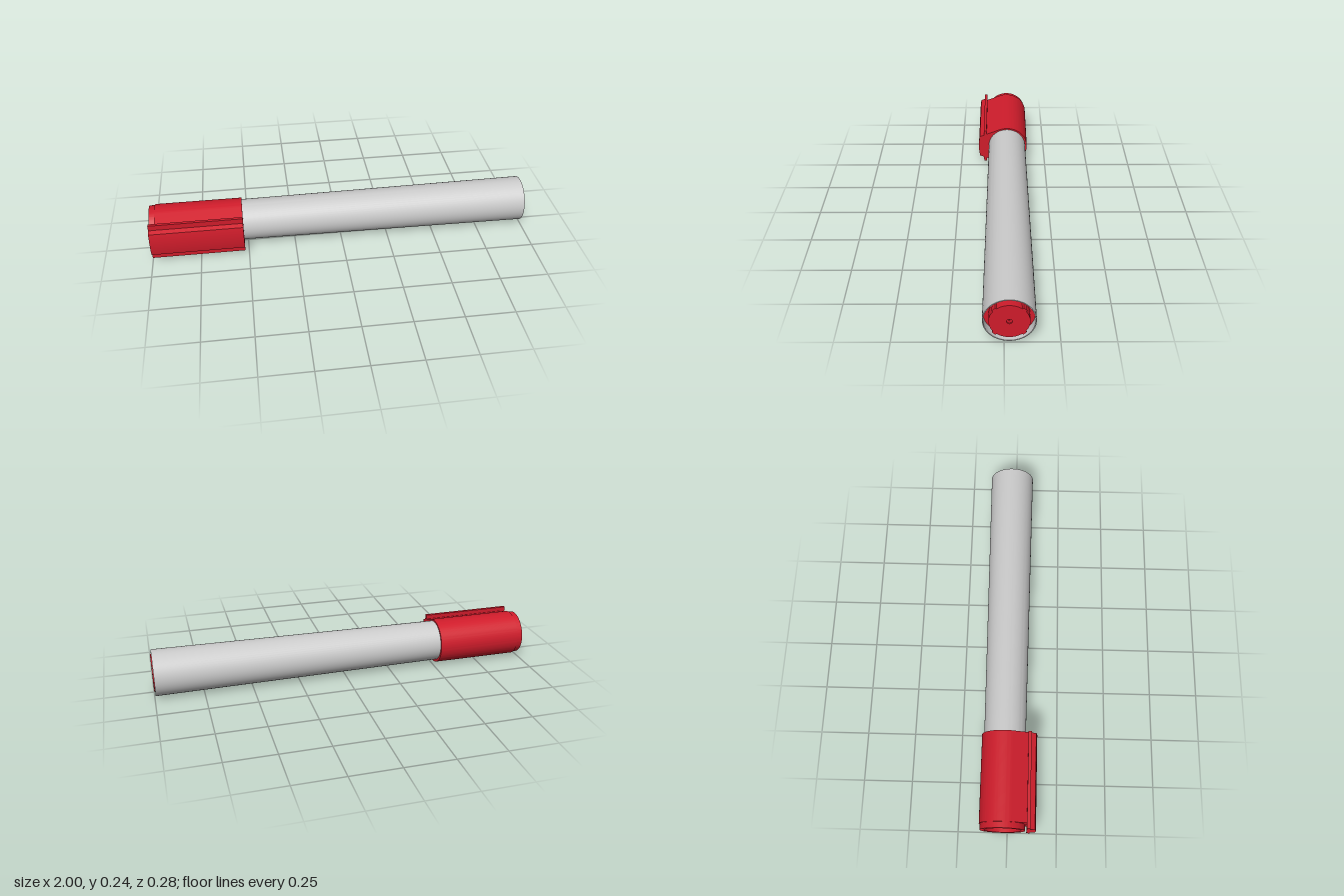
import * as THREE from 'three';
import { toCreasedNormals } from 'three/addons/utils/BufferGeometryUtils.js';

const AXIS_Z = -0.023, CAP_Y = 0.12, TUBE_Y = 0.123;

const red = new THREE.MeshStandardMaterial({ color: 0xd01c2b });
const grey = new THREE.MeshStandardMaterial({ color: 0xcccccc });

function add(group, name, geometry, material) {
  const mesh = new THREE.Mesh(toCreasedNormals(geometry, 0.5), material);
  mesh.name = name;
  group.add(mesh);
  return mesh;
}

// Cross-section drawn in (z, y) about the barrel axis, swept along x from x0 to x1
function sweep(shape, x0, x1, y) {
  const g = new THREE.ExtrudeGeometry(shape, { depth: x1 - x0, bevelEnabled: false, curveSegments: 48 });
  return g.rotateY(-Math.PI / 2).translate(x1, y, AXIS_Z);
}

// Profile of [radius, x] points turned about the barrel axis
function turned(points, y) {
  const g = new THREE.LatheGeometry(points.map(([r, x]) => new THREE.Vector2(r, x)), 64);
  return g.rotateZ(-Math.PI / 2).translate(0, y, AXIS_Z);
}

function circle(radius, Type = THREE.Shape) {
  return new Type().absarc(0, 0, radius, 0, Math.PI * 2, false);
}

// Round body with two tangents running to a narrow, slightly bowed front
function capSection(radius) {
  const tip = new THREE.Vector2(0.16, 0.064);
  const a = tip.angle() + Math.acos(radius / tip.length());
  const s = new THREE.Shape();
  s.moveTo(tip.x, -tip.y);
  s.quadraticCurveTo(0.172, 0, tip.x, tip.y);
  s.lineTo(radius * Math.cos(a), radius * Math.sin(a));
  s.absarc(0, 0, radius, a, Math.PI * 2 - a, false);
  s.closePath();
  return s;
}

// Disc with four small lugs on the diagonals
function plugSection() {
  const s = new THREE.Shape();
  const half = 0.1;
  for (let i = 0; i < 4; i++) {
    const a = Math.PI / 4 + i * Math.PI / 2;
    s.absarc(0, 0, 0.098, a - half, a + half, false);
    s.absarc(0, 0, 0.091, a + half + 0.04, a + Math.PI / 2 - half - 0.04, false);
  }
  s.closePath();
  s.holes.push(circle(0.013, THREE.Path));
  return s;
}

export function createModel() {
  const model = new THREE.Group();

  // Tapered hollow barrel
  add(model, 'barrel', turned([
    [0, -0.6], [0.1065, -0.6], [0.119, 0.995], [0.1145, 0.995], [0.1145, 0.93],
  ], TUBE_Y), grey);

  // Plug in the wide end: sunken floor, raised disc, centre dimple
  const plug = new THREE.Group();
  plug.name = 'endPlug';
  add(plug, 'plugFloor', turned([[0.1145, 0.95], [0, 0.95]], TUBE_Y), red);
  add(plug, 'plugDisc', sweep(plugSection(), 0.94, 1, TUBE_Y), red);
  add(plug, 'plugDimple', turned([[0.013, 0.994], [0.003, 0.992], [0, 0.996]], TUBE_Y), red);
  model.add(plug);

  // Cap: body, stepped collar with a recessed end, front panel and rib plate
  const cap = new THREE.Group();
  cap.name = 'cap';
  const body = capSection(0.118);
  body.holes.push(circle(0.092, THREE.Path));
  add(cap, 'capBody', sweep(body, -0.97, -0.52, CAP_Y), red);

  const collar = circle(0.113);
  collar.holes.push(circle(0.092, THREE.Path));
  add(cap, 'capCollar', sweep(collar, -1, -0.97, CAP_Y), red);
  add(cap, 'recessFloor', turned([[0, -0.95], [0.075, -0.95], [0.075, -0.93], [0.093, -0.93]].reverse(), CAP_Y)
    .scale(1, 1, 1), Object.assign(red.clone(), { side: THREE.DoubleSide }));

  const panel = new THREE.Shape();
  panel.moveTo(0.12, -0.079);
  panel.lineTo(0.16, -0.064);
  panel.quadraticCurveTo(0.172, 0, 0.16, 0.064);
  panel.lineTo(0.12, 0.079);
  panel.closePath();
  add(cap, 'frontPanel', sweep(panel, -1, -0.52, CAP_Y), red);

  const plate = new THREE.BoxGeometry(0.48, 0.204, 0.016).translate(-0.76, CAP_Y, 0.105);
  add(cap, 'ribPlate', plate, red);
  model.add(cap);

  return model;
}
